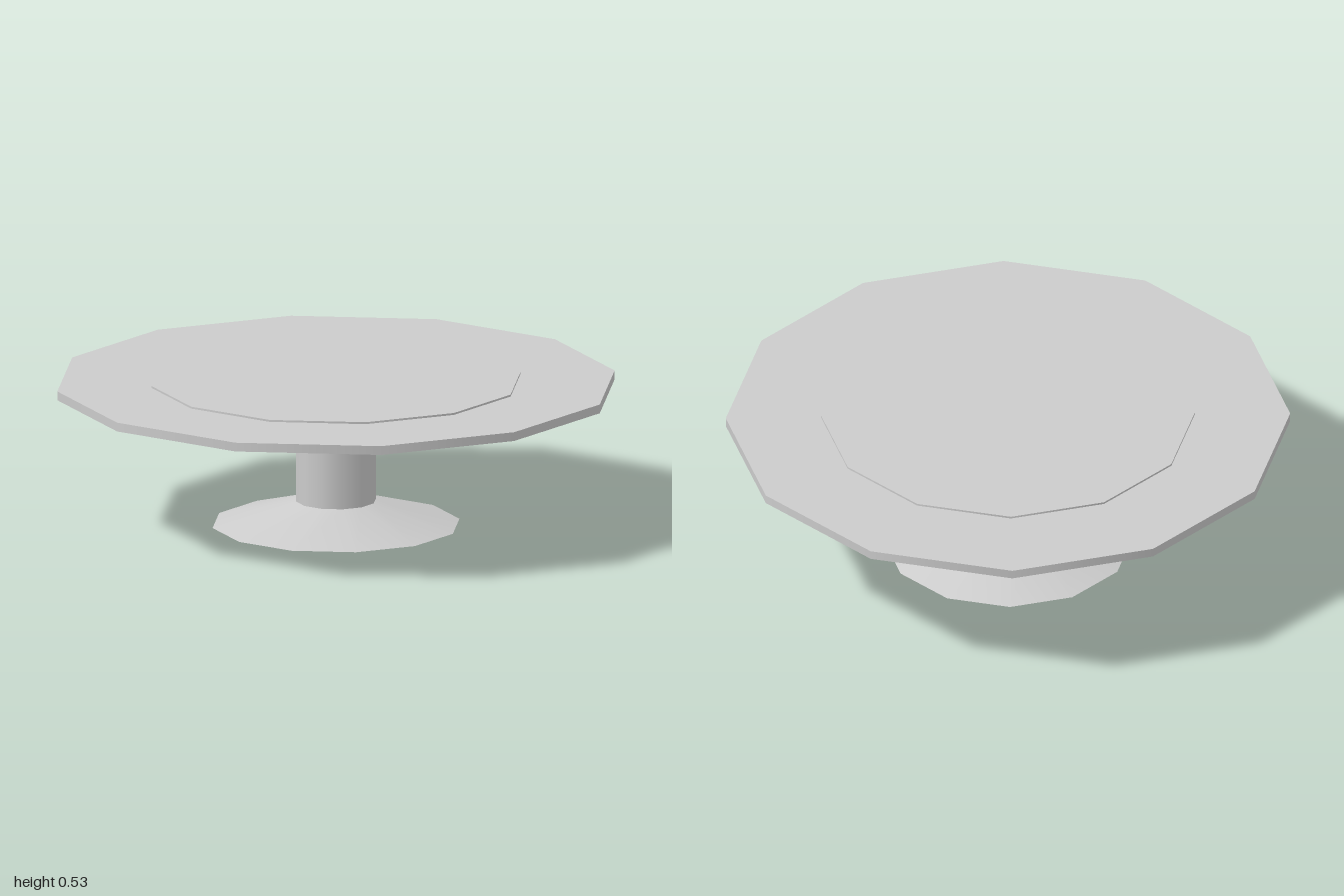
import * as THREE from 'three';

const SIDES = 12;

export function createModel() {
  const model = new THREE.Group();
  model.name = 'pedestalStand';
  const material = new THREE.MeshStandardMaterial({ color: 0xcccccc });

  // Twelve-sided round part spanning y0 to y1, corners on the x and z axes
  function addRound(name, bottomRadius, topRadius, y0, y1) {
    const geometry = new THREE.CylinderGeometry(topRadius, bottomRadius, y1 - y0, SIDES);
    const mesh = new THREE.Mesh(geometry, material);
    mesh.name = name;
    mesh.position.y = (y0 + y1) / 2;
    model.add(mesh);
  }

  // Flared foot, column, plate and the thin raised disc on top
  addRound('foot', 0.443, 0.143, 0, 0.085);
  addRound('column', 0.143, 0.143, 0.085, 0.487);
  addRound('plate', 1, 1, 0.487, 0.519);
  addRound('raisedDisc', 0.662, 0.662, 0.519, 0.526);

  return model;
}
